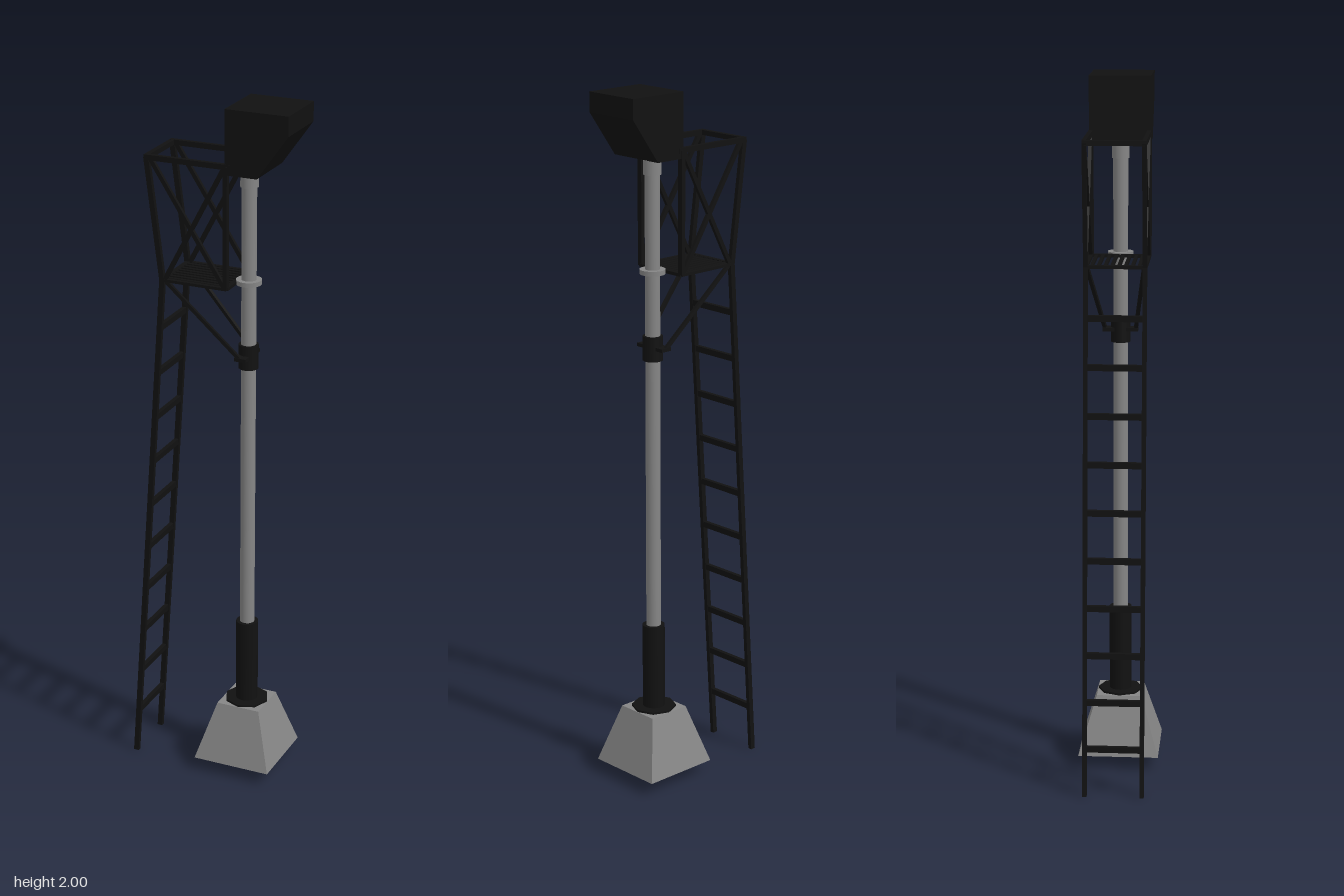
import * as THREE from 'three';

const black = new THREE.MeshStandardMaterial({ color: 0x111111 });
const grey = new THREE.MeshStandardMaterial({ color: 0x858585 });
const concrete = new THREE.MeshStandardMaterial({ color: 0x858585, flatShading: true });

export function createModel() {
  const model = new THREE.Group();
  const poleX = 0.09;

  function add(name, geometry, material, x = 0, y = 0, z = 0) {
    const mesh = new THREE.Mesh(geometry, material);
    mesh.name = name;
    mesh.position.set(x, y, z);
    model.add(mesh);
    return mesh;
  }
  // Square bar between two points
  function bar(name, a, b, w = 0.012, d = w) {
    const p = new THREE.Vector3(...a), q = new THREE.Vector3(...b);
    const mesh = add(name, new THREE.BoxGeometry(w, d, p.distanceTo(q)), black);
    mesh.position.copy(p).add(q).multiplyScalar(0.5);
    mesh.lookAt(q);
    return mesh;
  }
  // Cylinder on the pole axis, given its bottom and top
  function round(name, r, y0, y1, material, sides = 20) {
    return add(name, new THREE.CylinderGeometry(r, r, y1 - y0, sides), material, poleX, (y0 + y1) / 2, 0);
  }

  // Foundation: a square pyramid with its top cut off
  const foot = new THREE.CylinderGeometry(0.065 * Math.SQRT2, 0.116 * Math.SQRT2, 0.17, 4);
  foot.rotateY(Math.PI / 4);
  add('foundation', foot, concrete, poleX, 0.125, 0);

  // Pole with its sleeve and collars
  round('baseFlange', 0.064, 0.205, 0.216, black, 8).rotation.y = Math.PI / 2;
  round('baseSleeve', 0.032, 0.215, 0.465, black);
  round('pole', 0.021, 0.465, 1.83, grey);
  round('topCollar', 0.025, 1.77, 1.81, grey);
  round('platformCollar', 0.036, 1.495, 1.508, grey);
  round('braceClamp', 0.028, 1.25, 1.32, black);
  add('clampPlate', new THREE.BoxGeometry(0.035, 0.01, 0.1), black, poleX - 0.005, 1.287, 0);

  // Signal head: side profile with a sloped underside
  const profile = new THREE.Shape([
    [0.055, 1.82], [0.148, 1.82], [0.237, 1.945], [0.237, 2], [0.055, 2],
  ].map(([x, y]) => new THREE.Vector2(x, y)));
  const head = new THREE.ExtrudeGeometry(profile, { depth: 0.172, bevelEnabled: false });
  add('signalHead', head, black, 0, 0, -0.086);

  // Ladder rails, cage sides and braces, mirrored front to back
  const railX = y => -0.232 + (y / 1.5) * 0.1;
  for (const s of [-1, 1]) {
    const z = s * 0.081;
    bar('ladderRail', [railX(0), 0.001, z], [railX(1.5), 1.5, z], 0.012, 0.015);
    bar('cageRearPost', [-0.132, 1.5, z], [-0.176, 1.842, z], 0.012, 0.015);
    bar('cageFrontPost', [0.057, 1.5, z], [0.057, 1.842, z], 0.012, 0.015);
    bar('cageTopRail', [-0.182, 1.842, z], [0.07, 1.842, z], 0.012, 0.015);
    bar('cageDiagonal', [-0.165, 1.84, z], [0.053, 1.503, z], 0.01, 0.012);
    bar('cageDiagonal', [0.053, 1.84, z], [-0.124, 1.503, z], 0.01, 0.012);
    bar('platformEdge', [-0.132, 1.5, z], [0.06, 1.5, z], 0.012, 0.008);
    bar('platformBrace', [-0.125, 1.498, s * 0.078], [0.083, 1.287, s * 0.043], 0.01);
  }
  bar('cageRearRail', [-0.176, 1.842, -0.081], [-0.176, 1.842, 0.081], 0.014);

  // Ladder rungs
  for (let i = 0; i < 10; i++) {
    const y = 0.14 + i * 0.1355;
    add('ladderRung', new THREE.BoxGeometry(0.012, 0.017, 0.162), black, railX(y), y, 0);
  }

  // Slatted platform with cross bars at both ends
  for (let i = 0; i < 8; i++) {
    add('platformSlat', new THREE.BoxGeometry(0.19, 0.007, 0.0095), black, -0.037, 1.5, (i - 3.5) * 0.0186);
  }
  for (const x of [-0.131, 0.057]) {
    add('platformCrossBar', new THREE.BoxGeometry(0.013, 0.009, 0.162), black, x, 1.5, 0);
  }
  return model;
}
